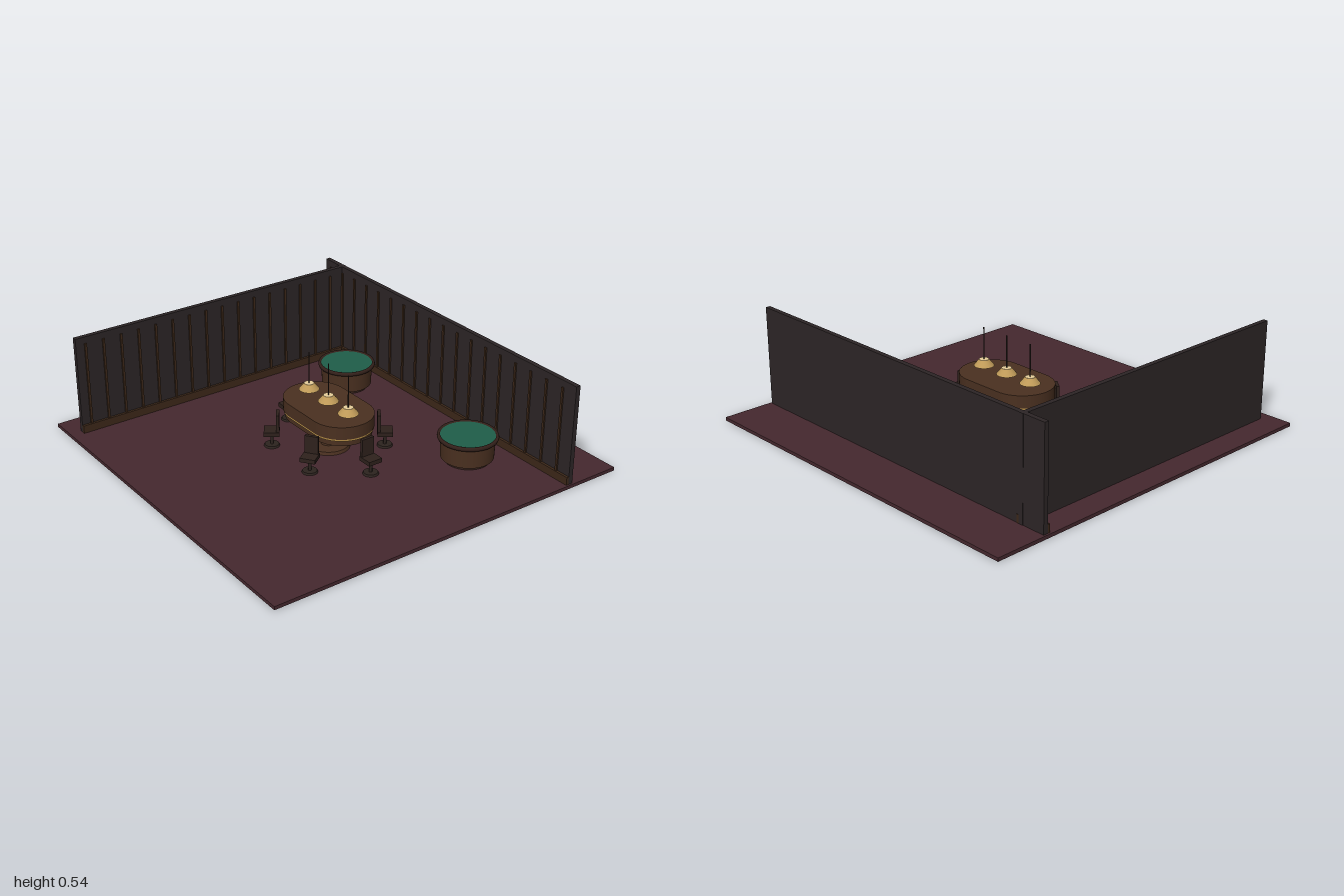
import * as THREE from 'three';

const mat = (color, side = THREE.FrontSide) => new THREE.MeshStandardMaterial({ color, side });
const M = {
  floor: mat(0x45282e), wall: mat(0x2c2526), trim: mat(0x3d2819), wood: mat(0x4a3020),
  rim: mat(0x33201a), felt: mat(0x1f5e49), seat: mat(0x2e211c), metal: mat(0x2c231e),
  gold: mat(0xb08a45), shade: mat(0xbf9a58, THREE.DoubleSide), bulb: mat(0xe8cf9a),
};
const FLOOR = 0.018;

function add(parent, name, geo, material, x = 0, y = 0, z = 0) {
  const m = new THREE.Mesh(geo, material);
  m.name = name;
  m.position.set(x, y, z);
  parent.add(m);
  return m;
}
function group(parent, name, x = 0, y = 0, z = 0) {
  const g = new THREE.Group();
  g.name = name;
  g.position.set(x, y, z);
  parent.add(g);
  return g;
}
// box and cylinder placed by their bottom and top heights
const box = (p, name, m, w, d, y0, y1, x = 0, z = 0) =>
  add(p, name, new THREE.BoxGeometry(w, y1 - y0, d), m, x, (y0 + y1) / 2, z);
const cyl = (p, name, m, rBottom, rTop, y0, y1, x = 0, z = 0, seg = 40, open = false) =>
  add(p, name, new THREE.CylinderGeometry(rTop, rBottom, y1 - y0, seg, 1, open), m, x, (y0 + y1) / 2, z);

// upright slab with rounded ends, lying flat in x and z
function oval(p, name, m, halfX, halfZ, y0, y1) {
  const c = halfX - halfZ, s = new THREE.Shape();
  s.moveTo(-c, -halfZ);
  s.lineTo(c, -halfZ);
  s.absarc(c, 0, halfZ, -Math.PI / 2, Math.PI / 2, false);
  s.lineTo(-c, halfZ);
  s.absarc(-c, 0, halfZ, Math.PI / 2, Math.PI * 1.5, false);
  const geo = new THREE.ExtrudeGeometry(s, { depth: y1 - y0, bevelEnabled: false, curveSegments: 24 });
  geo.rotateX(-Math.PI / 2);
  return add(p, name, geo, m, 0, y0, 0);
}

// wall along local x, panelled on its +z side
function wall(parent, name, length, first, last, count) {
  const g = group(parent, name);
  box(g, 'wallPanel', M.wall, length, 0.025, FLOOR, 0.54);
  box(g, 'baseboard', M.trim, length, 0.014, FLOOR, 0.06, 0, 0.019);
  for (let i = 0; i < count; i++) {
    const x = first + (last - first) * i / (count - 1);
    box(g, 'batten', M.trim, 0.012, 0.008, 0.06, 0.505, x, 0.016);
  }
  return g;
}

// swivel chair, backrest on its +z side
function chair(parent, x, z) {
  const g = group(parent, 'chair', x, 0, z);
  cyl(g, 'chairBase', M.metal, 0.04, 0.036, FLOOR, 0.028, 0, 0, 24);
  cyl(g, 'chairPost', M.metal, 0.008, 0.008, 0.028, 0.085, 0, 0, 12);
  box(g, 'chairSeat', M.seat, 0.078, 0.078, 0.085, 0.107);
  box(g, 'chairBack', M.seat, 0.07, 0.016, 0.105, 0.2, 0, 0.031);
  g.rotation.y = Math.atan2(-x, -z);
}

function roundTable(parent, x, z) {
  const g = group(parent, 'roundTable', x, 0, z);
  cyl(g, 'plinth', M.rim, 0.115, 0.115, FLOOR, 0.036);
  cyl(g, 'drum', M.wood, 0.133, 0.137, 0.036, 0.138, 0, 0, 48);
  // raised rim around the felt
  const pts = [[0.135, 0.136], [0.15, 0.138], [0.153, 0.147], [0.15, 0.156], [0.138, 0.156], [0.136, 0.148]]
    .map(([r, y]) => new THREE.Vector2(r, y));
  add(g, 'rim', new THREE.LatheGeometry(pts, 48), M.rim);
  cyl(g, 'felt', M.felt, 0.138, 0.138, 0.138, 0.152, 0, 0, 48);
}

function lamp(parent, x) {
  const g = group(parent, 'pendantLamp', x);
  cyl(g, 'lampShade', M.shade, 0.052, 0.025, 0.267, 0.3, 0, 0, 32, true);
  cyl(g, 'lampCap', M.bulb, 0.025, 0.025, 0.297, 0.301, 0, 0, 32);
  add(g, 'bulb', new THREE.SphereGeometry(0.014, 16, 12), M.bulb, 0, 0.281, 0);
  cyl(g, 'lampRod', M.metal, 0.003, 0.003, 0.3, 0.47, 0, 0, 8);
}

export function createModel() {
  const model = new THREE.Group();
  model.name = 'gameRoom';

  box(model, 'floor', M.floor, 2, 2, 0, FLOOR);

  // walls
  wall(model, 'backWall', 1.98, -0.94, 0.905, 18).position.z = -0.713;
  const side = wall(model, 'sideWall', 1.665, -0.78, 0.72, 16);
  side.rotation.y = Math.PI / 2;
  side.position.set(-0.852, 0, 0.105);

  // central oval table
  const table = group(model, 'ovalTable');
  oval(table, 'tableRail', M.wood, 0.272, 0.163, 0.184, 0.25);
  oval(table, 'goldBand', M.gold, 0.27, 0.161, 0.174, 0.184);
  oval(table, 'tableApron', M.wood, 0.262, 0.153, 0.145, 0.174);
  cyl(table, 'pedestal', M.wood, 0.038, 0.032, 0.032, 0.145);
  cyl(table, 'pedestalFoot', M.wood, 0.11, 0.105, FLOOR, 0.034);

  for (const x of [-0.165, 0, 0.165]) lamp(model, x);

  // chairs around the table
  for (const s of [-1, 1]) {
    chair(model, s * 0.35, 0);
    for (const t of [-1, 1]) chair(model, s * 0.165, t * 0.23);
  }

  roundTable(model, -0.497, -0.48);
  roundTable(model, 0.512, -0.474);
  return model;
}
